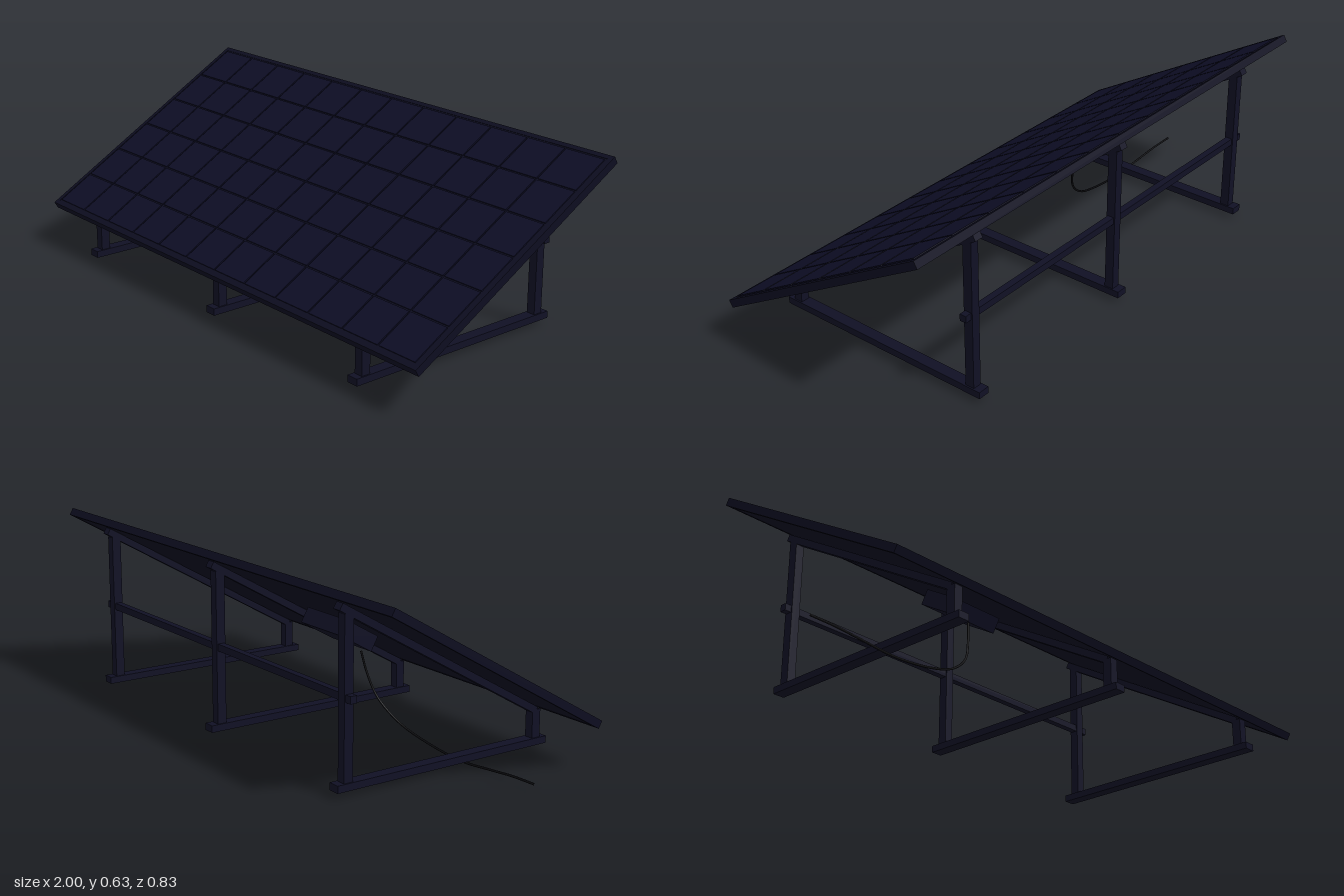
import * as THREE from 'three';

const mat = (name, color) => {
  const m = new THREE.MeshStandardMaterial({ color });
  m.name = name;
  return m;
};

export function createModel() {
  const model = new THREE.Group();
  model.name = 'solarPanelStand';
  const cell = mat('cellNavy', 0x0e0e26);
  const frame = mat('frameNavy', 0x0d0d20);
  const steel = mat('strutNavy', 0x101024);
  const black = mat('cableBlack', 0x0a0a0e);

  const box = (parent, name, size, pos, material) => {
    const mesh = new THREE.Mesh(new THREE.BoxGeometry(...size), material);
    mesh.name = name;
    mesh.position.set(...pos);
    parent.add(mesh);
    return mesh;
  };

  const CX = 0.0215, LEN = 1.957, DEPTH = 0.946;
  const frameXs = [-0.71, 0, 0.71].map((x) => x + CX);

  // Tilted assembly: panel, rails and junction box share one slope
  const tilt = new THREE.Group();
  tilt.name = 'tiltedPanel';
  tilt.position.set(CX, 0.3815, 0);
  tilt.rotation.x = Math.PI / 6;
  model.add(tilt);

  box(tilt, 'backSheet', [LEN - 0.03, 0.024, DEPTH - 0.03], [0, 0, 0], frame);
  for (const s of [-1, 1]) {
    box(tilt, 'longFrameEdge', [LEN, 0.027, 0.016], [0, 0, s * (DEPTH / 2 - 0.008)], frame);
    box(tilt, 'shortFrameEdge', [0.016, 0.027, DEPTH - 0.032], [s * (LEN / 2 - 0.008), 0, 0], frame);
  }

  // Grid of thin cells on the upper face
  const cols = 12, rows = 6;
  const pw = (LEN - 0.04) / cols, pd = (DEPTH - 0.04) / rows;
  for (let i = 0; i < cols; i++) {
    for (let j = 0; j < rows; j++) {
      box(tilt, 'cell', [pw - 0.006, 0.004, pd - 0.006],
        [(i - (cols - 1) / 2) * pw, 0.0135, (j - (rows - 1) / 2) * pd], cell);
    }
  }

  // Junction box under the panel
  box(tilt, 'junctionBox', [0.22, 0.055, 0.143], [-0.247, -0.0425, -0.047], steel);

  // Three support frames
  for (const x of frameXs) {
    box(tilt, 'slopedRail', [0.032, 0.024, 0.9], [x - CX, -0.0265, 0], steel);
    box(model, 'footBeam', [0.042, 0.024, 0.834], [x, 0.03, 0], steel);
    box(model, 'frontLeg', [0.032, 0.1, 0.033], [x, 0.087, 0.3765], steel);
    box(model, 'backLeg', [0.032, 0.52, 0.033], [x, 0.3, -0.374], steel);
  }

  // Horizontal brace joining the back legs
  box(model, 'crossBrace', [1.5, 0.024, 0.024], [CX, 0.305, -0.374], steel);

  // Cable hanging from the junction box and trailing along the ground
  const path = new THREE.CatmullRomCurve3([
    [-0.255, 0.292, 0.005], [-0.27, 0.215, 0.02], [-0.3, 0.138, 0.04],
    [-0.38, 0.07, 0.064], [-0.5, 0.026, 0.088], [-0.66, 0.0045, 0.101],
    [-0.8, 0.014, 0.102], [-0.9, 0.023, 0.101], [-0.999, 0.026, 0.1],
  ].map((p) => new THREE.Vector3(...p)));
  const cable = new THREE.Mesh(new THREE.TubeGeometry(path, 64, 0.0038, 8), black);
  cable.name = 'cable';
  model.add(cable);

  return model;
}
